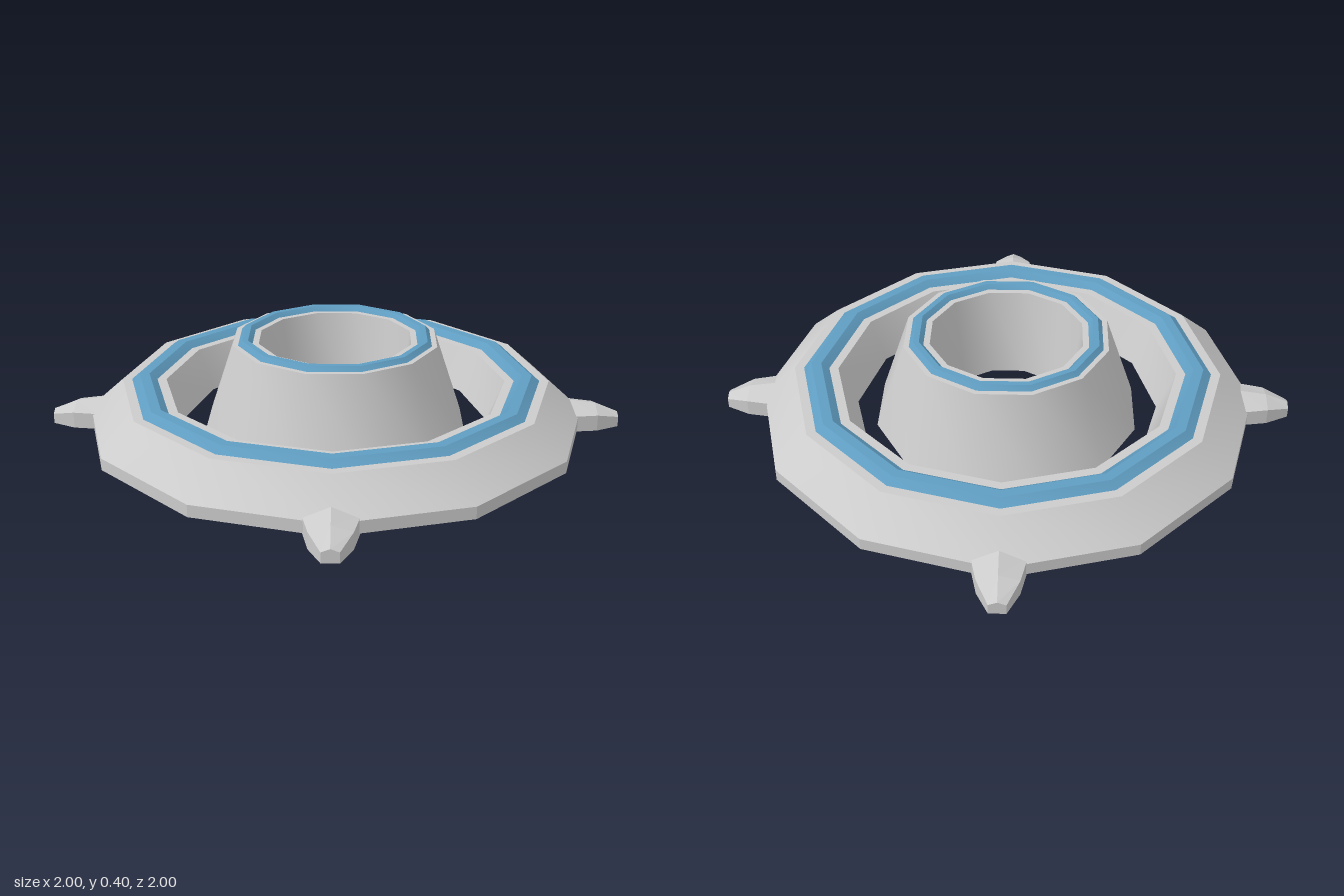
import * as THREE from 'three';
import { toCreasedNormals } from 'three/addons/utils/BufferGeometryUtils.js';

const grey = new THREE.MeshStandardMaterial({ color: 0xcccccc, side: THREE.DoubleSide });
const blue = new THREE.MeshStandardMaterial({ color: 0x5f9cc0, side: THREE.DoubleSide });

// Twelve-sided shell turned from a [radius, height] profile
function turned(name, profile, material, startAngle = 0, scale = 1) {
  const points = profile.map(([r, y]) => new THREE.Vector2(r * scale, y));
  const geometry = new THREE.LatheGeometry(points, 12, startAngle);
  const mesh = new THREE.Mesh(toCreasedNormals(geometry, 0.52), material);
  mesh.name = name;
  return mesh;
}

// Tapering roof-shaped claw pointing along +x, lofted through cross-sections
function clawGeometry() {
  // [distance from centre, half width, side height, ridge height, bottom]
  const sections = [
    [0.95, 0.106, 0.07, 0.108, 0.01],
    [0.985, 0.104, 0.072, 0.108, 0.005],
    [1.095, 0.08, 0.068, 0.092, 0],
    [1.19, 0.033, 0.042, 0.055, 0],
  ];
  const rings = sections.map(([r, w, side, top, low]) => [
    [r, low, -w], [r, side, -w], [r, top, 0], [r, side, w], [r, low, w],
  ]);
  const positions = [];
  const tri = (a, b, c) => positions.push(...a, ...b, ...c);
  for (let i = 0; i < rings.length - 1; i++) {
    for (let j = 0; j < 5; j++) {
      const k = (j + 1) % 5;
      const a = rings[i][j], b = rings[i][k], c = rings[i + 1][k], d = rings[i + 1][j];
      tri(a, b, c);
      tri(a, c, d);
    }
  }
  const first = rings[0], last = rings[rings.length - 1];
  for (let j = 1; j < 4; j++) {
    tri(first[0], first[j + 1], first[j]);
    tri(last[0], last[j], last[j + 1]);
  }
  const geometry = new THREE.BufferGeometry();
  geometry.setAttribute('position', new THREE.Float32BufferAttribute(positions, 3));
  geometry.computeVertexNormals();
  return geometry;
}

export function createModel() {
  const model = new THREE.Group();
  model.name = 'ringBase';

  // Outer ring, hollow underneath; profile radii are measured to the flat sides
  const turn = Math.PI / 12;
  const toCorner = 1 / Math.cos(turn);
  model.add(turned('outerRing', [
    [1, 0.015], [1, 0.065], [0.863, 0.19], [0.685, 0.19], [0.615, 0.015],
  ], grey, turn, toCorner));
  model.add(turned('outerRingBand', [
    [0.825, 0.19], [0.793, 0.215], [0.753, 0.215], [0.722, 0.19],
  ], blue, turn, toCorner));

  // Inner cone with a narrowing central tube
  model.add(turned('innerCone', [
    [0.558, 0.005], [0.43, 0.38], [0.322, 0.38], [0.268, 0.005],
  ], grey));
  model.add(turned('innerConeBand', [
    [0.408, 0.38], [0.39, 0.398], [0.366, 0.398], [0.348, 0.38],
  ], blue));

  // Four claws on the diagonals
  const claw = clawGeometry();
  for (let i = 0; i < 4; i++) {
    const mesh = new THREE.Mesh(claw, grey);
    mesh.name = 'claw';
    mesh.rotation.y = Math.PI / 4 + (i * Math.PI) / 2;
    model.add(mesh);
  }
  return model;
}
